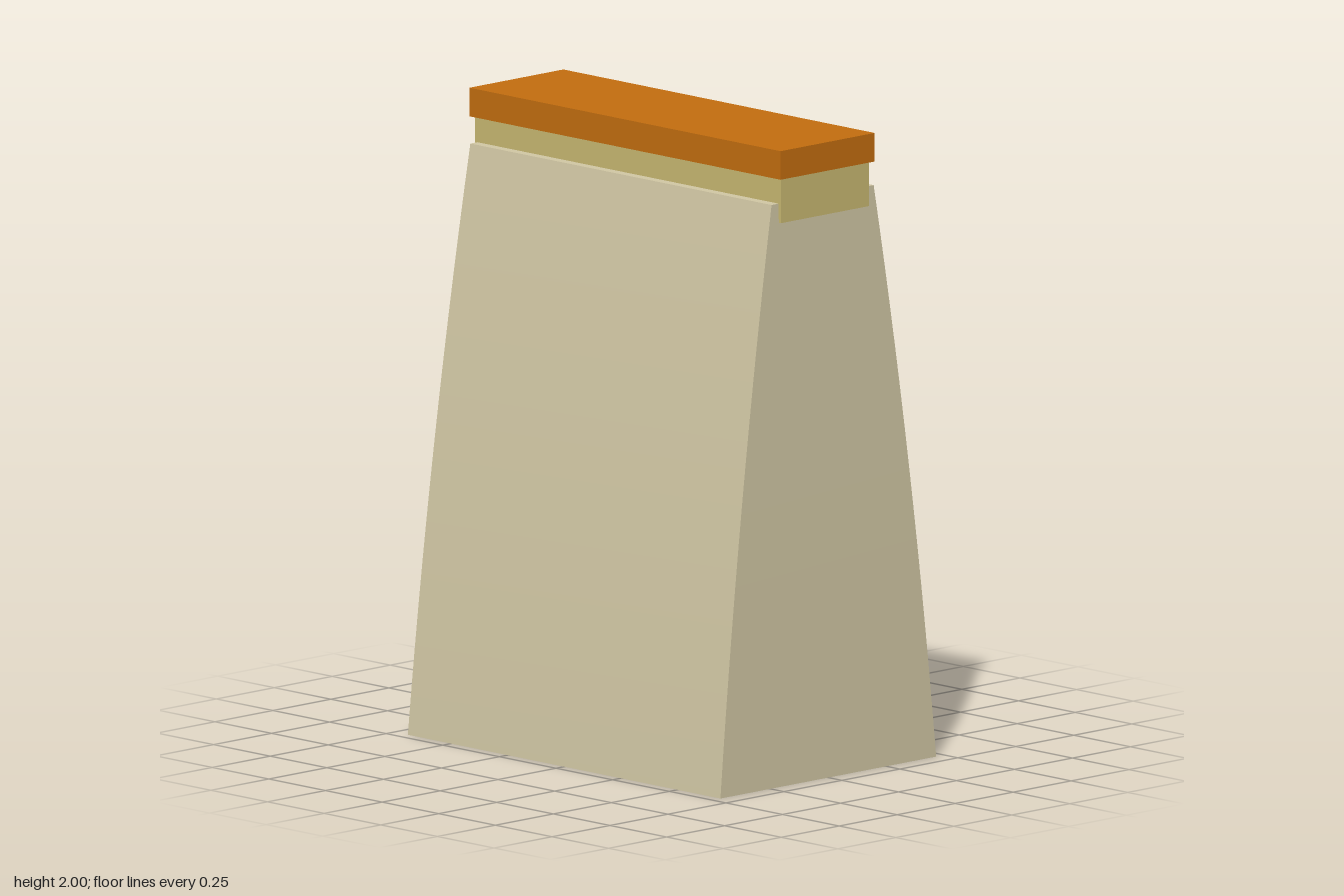
import * as THREE from 'three';

const HEIGHT = 1.83;

// Half-width and half-depth of the bag at height y; both shrink along one gentle curve
const taper = (y) => (0.0945 * y + 0.0215 * y * y) / 0.245;
const halfX = (y) => 0.69 - 0.025 * taper(y);
const halfZ = (y) => 0.465 - 0.245 * taper(y);

export function createModel() {
  const paper = new THREE.MeshStandardMaterial({ color: 0xd2c8a5, side: THREE.DoubleSide });
  paper.name = 'paper beige';
  const straw = new THREE.MeshStandardMaterial({ color: 0xcaba72 });
  straw.name = 'straw yellow';
  const orange = new THREE.MeshStandardMaterial({ color: 0xc46e0f });
  orange.name = 'burnt orange';

  const model = new THREE.Group();
  model.name = 'foldedBag';

  function add(name, geometry, material, y, parent = model) {
    const mesh = new THREE.Mesh(geometry, material);
    mesh.name = name;
    mesh.position.y = y;
    parent.add(mesh);
    return mesh;
  }

  // One curved wall, facing +z before it is turned into place
  function wall(halfWidth, distance) {
    const g = new THREE.PlaneGeometry(2, HEIGHT, 1, 14);
    const p = g.attributes.position;
    for (let i = 0; i < p.count; i++) {
      const y = p.getY(i) + HEIGHT / 2;
      p.setXYZ(i, p.getX(i) * halfWidth(y), y, distance(y));
    }
    g.computeVertexNormals();
    return g;
  }

  // Bag body: four walls and a top, open underneath
  const body = new THREE.Group();
  body.name = 'bagBody';
  model.add(body);
  ['frontWall', 'leftWall', 'backWall', 'rightWall'].forEach((name, i) => {
    const g = i % 2 ? wall(halfZ, halfX) : wall(halfX, halfZ);
    add(name, g.rotateY((i * Math.PI) / 2), paper, 0, body);
  });
  const top = new THREE.PlaneGeometry(2 * halfX(HEIGHT), 2 * halfZ(HEIGHT));
  add('bagTop', top.rotateX(-Math.PI / 2), paper, HEIGHT, body);

  // Neck band sunk into the bag, and the closing strip above it
  add('neckBand', new THREE.BoxGeometry(1.352, 0.14, 0.38), straw, 1.84);
  add('closingStrip', new THREE.BoxGeometry(1.374, 0.09, 0.405), orange, 1.955);

  return model;
}
